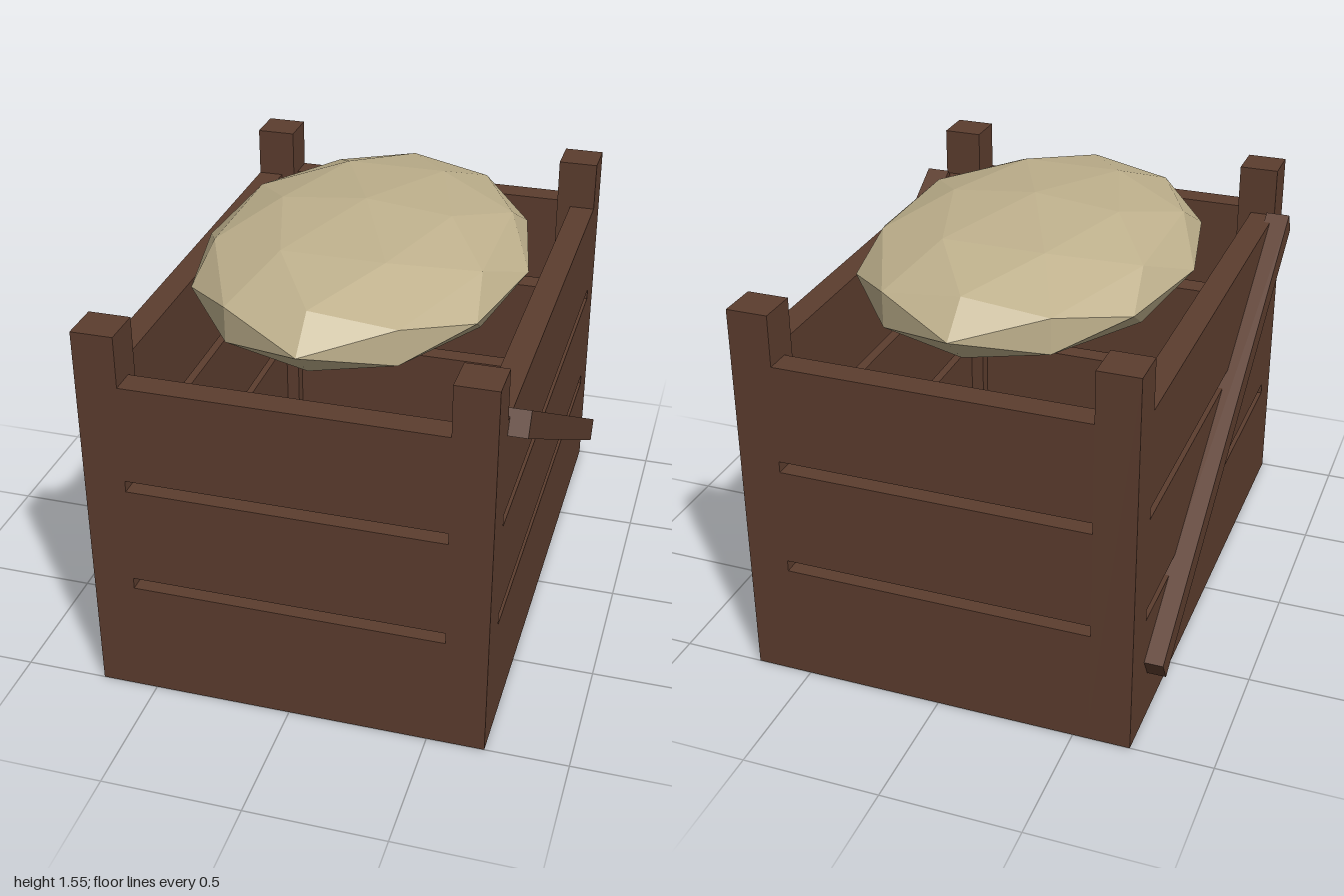
import * as THREE from 'three';

export function createModel() {
  const model = new THREE.Group();
  model.name = 'crateWithSack';
  const wood = new THREE.MeshStandardMaterial({ color: 0x5c3d2e });
  wood.name = 'dark wood';
  const burlap = new THREE.MeshStandardMaterial({ color: 0xbfb18d });
  burlap.name = 'burlap';
  burlap.flatShading = true;

  const box = (name, w, h, d, x, y, z) => {
    const mesh = new THREE.Mesh(new THREE.BoxGeometry(w, h, d), wood);
    mesh.name = name;
    mesh.position.set(x, y, z);
    model.add(mesh);
    return mesh;
  };

  const halfX = 0.705, halfZ = 1, post = 0.148, board = 0.095;
  const floorH = 0.07, slatH = 0.36, gap = 0.042, postH = 1.42;

  // Floor
  box('floor', halfX * 2, floorH, halfZ * 2, 0, floorH / 2, 0);

  // Corner posts
  for (const sx of [-1, 1]) for (const sz of [-1, 1]) {
    box('cornerPost', post, postH - floorH, post,
      sx * (halfX - post / 2), (postH + floorH) / 2, sz * (halfZ - post / 2));
  }

  // Three slats on each wall, running between the posts
  for (let i = 0; i < 3; i++) {
    const y = floorH + slatH / 2 + i * (slatH + gap);
    for (const s of [-1, 1]) {
      box('sideSlat', board, slatH, 2 * (halfZ - post), s * (halfX - board / 2), y, 0);
      box('endSlat', 2 * (halfX - post), slatH, board, 0, y, s * (halfZ - board / 2));
    }
  }

  // Diagonal braces, high at the front on both sides
  for (const s of [-1, 1]) {
    const brace = box('diagonalBrace', 0.09, 0.09, 1.946, s * 0.727, 0.72, 0);
    brace.rotation.x = -Math.atan2(1, 1.67);
  }

  // Faceted sack resting in the top
  const sack = new THREE.Mesh(new THREE.IcosahedronGeometry(1, 1), burlap);
  sack.name = 'sack';
  sack.scale.set(0.6, 0.213, 0.835);
  sack.position.y = 1.339;
  model.add(sack);

  return model;
}
